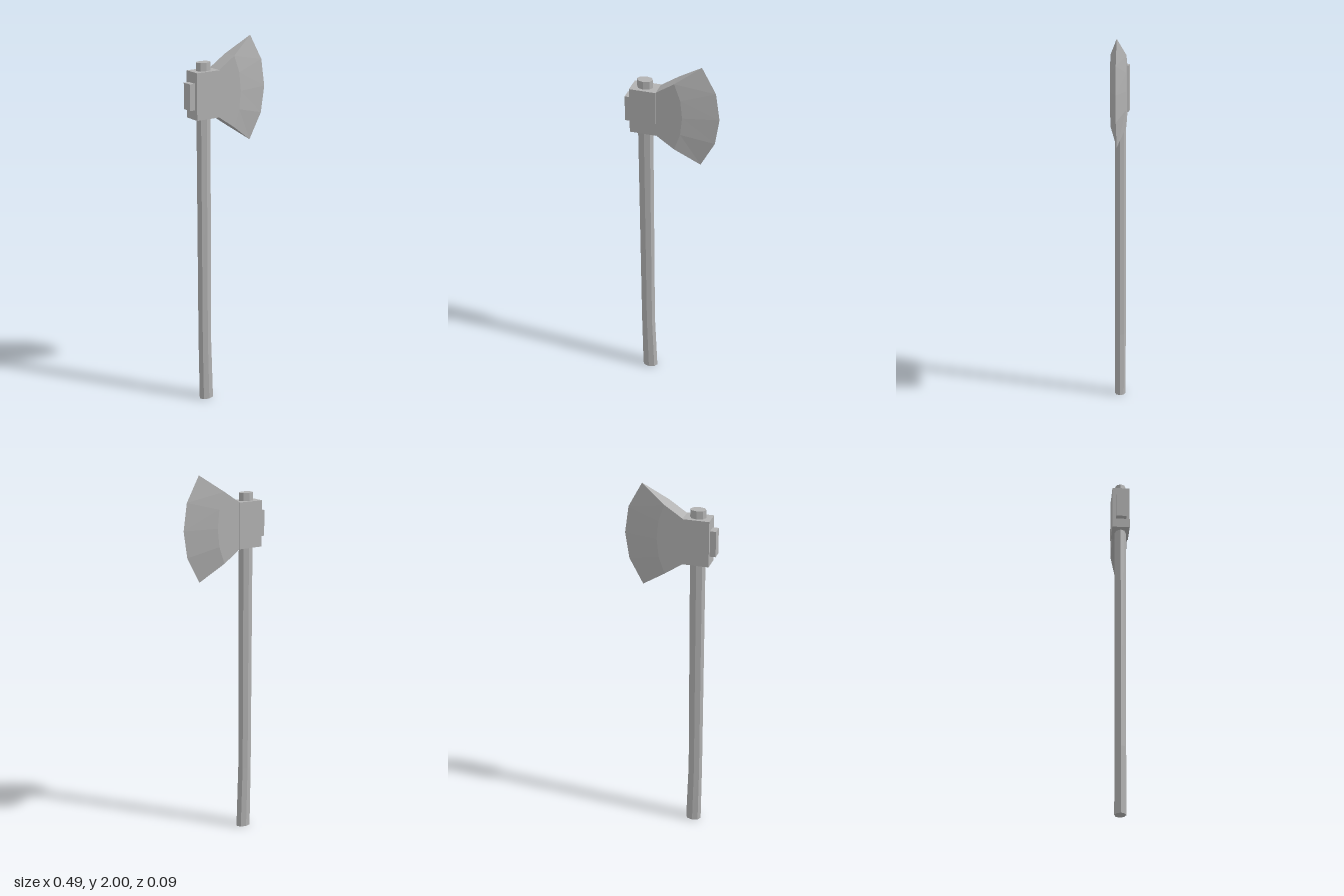
import * as THREE from 'three';

const steel = new THREE.MeshStandardMaterial({ color: 0xb2b2b2 });
steel.name = 'plain grey';

// Unshared corners give hard facets
function faceted(name, geometry) {
  const g = geometry.index ? geometry.toNonIndexed() : geometry;
  g.computeVertexNormals();
  const mesh = new THREE.Mesh(g, steel);
  mesh.name = name;
  return mesh;
}

function block(name, x0, x1, y0, y1, depth) {
  const g = new THREE.BoxGeometry(x1 - x0, y1 - y0, depth);
  g.translate((x0 + x1) / 2, (y0 + y1) / 2, 0);
  return faceted(name, g);
}

// Eight-sided oval shaft whose lower end kicks forward
function makeHandle() {
  const rows = [
    { y: 1.89, x: -0.147, rx: 0.042, rz: 0.031 },
    { y: 0.35, x: -0.147, rx: 0.039, rz: 0.03 },
    { y: 0, x: -0.139, rx: 0.043, rz: 0.03 },
  ];
  const g = new THREE.CylinderGeometry(1, 1, 2, 8, 2);
  const p = g.attributes.position;
  for (let i = 0; i < p.count; i++) {
    const r = rows[1 - Math.round(p.getY(i))];
    p.setXYZ(i, r.x + p.getX(i) * r.rx, r.y, p.getZ(i) * r.rz);
  }
  return faceted('handle', g);
}

// Flared blade: flat cheeks, then a bevel from the inner arc to the sharp edge
function makeBlade() {
  const half = 0.042;
  const root = [[-0.08, 1.845], [-0.08, 1.6]];
  const inner = [[0.018, 1.91], [0.05, 1.82], [0.06, 1.722], [0.05, 1.625], [0.018, 1.533]];
  const edge = [[0.148, 2], [0.222, 1.865], [0.243, 1.72], [0.222, 1.578], [0.148, 1.44]];
  const out = [];
  const tri = (a, b, c) => out.push(...a, ...b, ...c);
  const at = (p, z) => [p[0], p[1], z];

  for (const s of [1, -1]) {
    // Mirrored side swaps the winding
    const face = (a, b, c) => (s > 0 ? tri(a, b, c) : tri(a, c, b));
    const cheek = (p) => at(p, s * half);
    face(cheek(root[0]), cheek(root[1]), cheek(inner[4]));
    for (let i = 0; i < 4; i++) {
      face(cheek(root[0]), cheek(inner[i + 1]), cheek(inner[i]));
      face(cheek(inner[i]), cheek(inner[i + 1]), at(edge[i + 1], 0));
      face(cheek(inner[i]), at(edge[i + 1], 0), at(edge[i], 0));
    }
  }

  // Upper and lower rims, each running to a point
  const rim = (r, n, tip, flip) => {
    const face = (a, b, c) => (flip ? tri(a, c, b) : tri(a, b, c));
    face(at(r, half), at(n, half), at(n, -half));
    face(at(r, half), at(n, -half), at(r, -half));
    face(at(n, half), at(tip, 0), at(n, -half));
  };
  rim(root[0], inner[0], edge[0], false);
  rim(root[1], inner[4], edge[4], true);

  const g = new THREE.BufferGeometry();
  g.setAttribute('position', new THREE.Float32BufferAttribute(out, 3));
  return faceted('blade', g);
}

export function createModel() {
  const axe = new THREE.Group();
  axe.name = 'axe';
  axe.add(
    makeHandle(),
    block('headBlock', -0.217, -0.077, 1.6, 1.847, 0.095),
    block('hammerPoll', -0.248, -0.21, 1.652, 1.79, 0.056),
    makeBlade(),
  );
  return axe;
}
